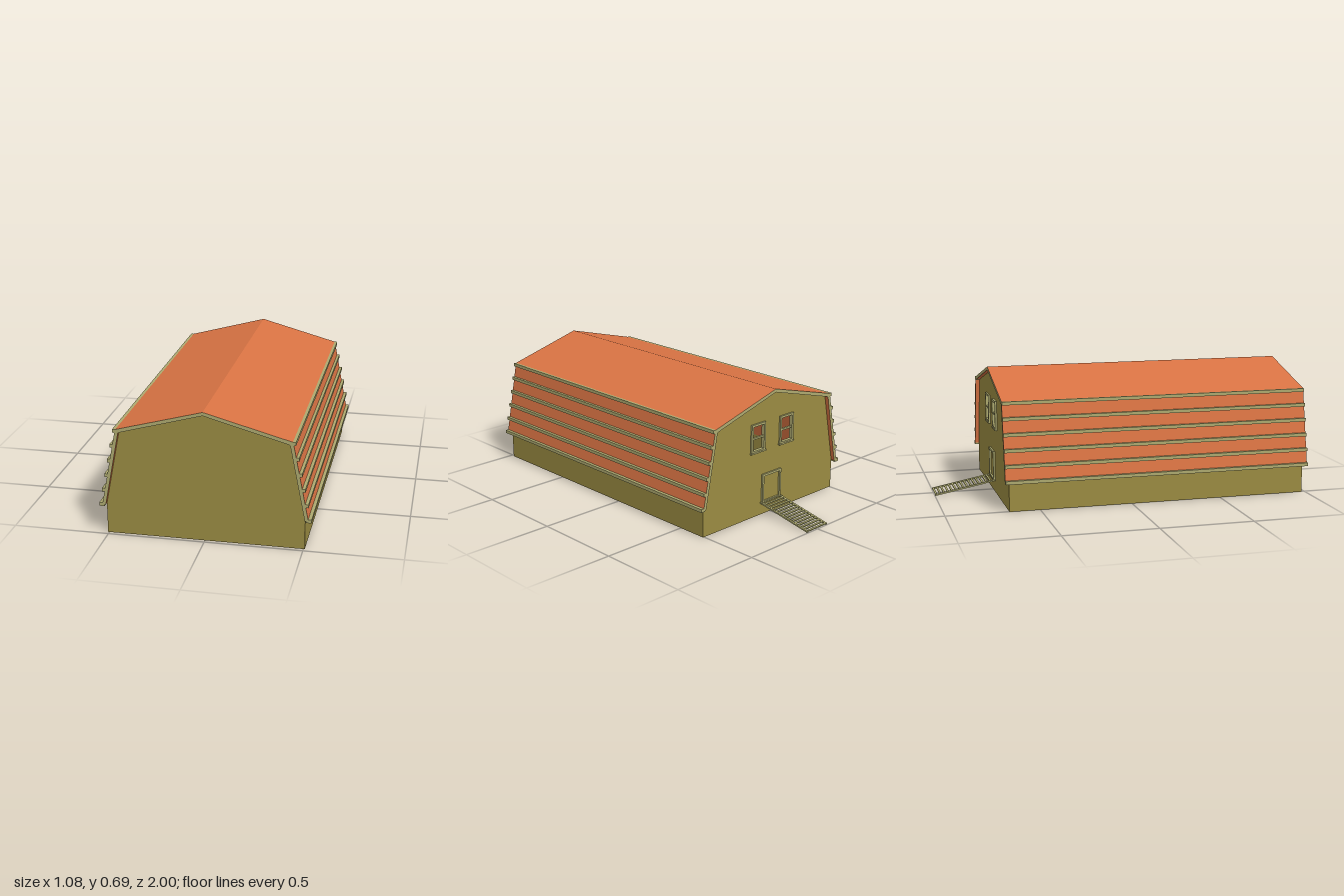
import * as THREE from 'three';

const wallMat = new THREE.MeshStandardMaterial({ color: 0x9a8b42, side: THREE.DoubleSide });
wallMat.name = 'olive wall';
const trimMat = new THREE.MeshStandardMaterial({ color: 0xaeaa70 });
trimMat.name = 'pale trim';
const roofMat = new THREE.MeshStandardMaterial({ color: 0xd97343 });
roofMat.name = 'orange roof';

const FRONT = 0.98, BACK = -0.665;
const ROOF_FRONT = 1, ROOF_BACK = -0.687;
const HALF = 0.507, EAVE = 0.162;
const WINDOW = { x: 0.11, y: 0.447, w: 0.106, h: 0.158 };
const BAR = 0.012;

const points = (list) => list.map(([x, y]) => new THREE.Vector2(x, y));

function add(parent, name, geometry, material) {
  const mesh = new THREE.Mesh(geometry, material);
  mesh.name = name;
  parent.add(mesh);
  return mesh;
}

function box(parent, name, w, h, d, x, y, z, material = trimMat) {
  const mesh = add(parent, name, new THREE.BoxGeometry(w, h, d), material);
  mesh.position.set(x, y, z);
  return mesh;
}

// Gable outline following the underside of the roof
function gableShape() {
  return new THREE.Shape(points([
    [-HALF, 0], [HALF, 0], [HALF, EAVE], [0.429, 0.557],
    [0, 0.676], [-0.429, 0.557], [-HALF, EAVE],
  ]));
}

// Rectangular frame of four bars standing on the back wall
function frame(parent, name, x, y, w, h) {
  const g = new THREE.Group();
  g.name = name;
  g.position.set(x, y, BACK);
  const depth = 0.02;
  for (const s of [-1, 1]) {
    box(g, 'upright', BAR, h, depth, s * (w - BAR) / 2, 0, 0);
    box(g, 'crossbar', w - 2 * BAR, BAR, depth, 0, s * (h - BAR) / 2, 0);
  }
  parent.add(g);
  return g;
}

export function createModel() {
  const barn = new THREE.Group();
  barn.name = 'barn';

  // Walls, open underneath
  add(barn, 'frontWall', new THREE.ShapeGeometry(gableShape()), wallMat).position.z = FRONT;
  const backShape = gableShape();
  for (const s of [-1, 1]) {
    const w = WINDOW.w / 2 - BAR / 2, h = WINDOW.h / 2 - BAR / 2;
    const cx = s * WINDOW.x, cy = WINDOW.y;
    backShape.holes.push(new THREE.Path(points([
      [cx - w, cy - h], [cx - w, cy + h], [cx + w, cy + h], [cx + w, cy - h],
    ])));
  }
  const back = new THREE.ShapeGeometry(backShape).rotateY(Math.PI);
  add(barn, 'backWall', back, wallMat).position.z = BACK;
  for (const s of [-1, 1]) {
    const side = new THREE.PlaneGeometry(FRONT - BACK, EAVE).rotateY(s * Math.PI / 2);
    add(barn, s > 0 ? 'leftWall' : 'rightWall', side, wallMat)
      .position.set(s * HALF, EAVE / 2, (FRONT + BACK) / 2);
  }

  // Two-slope roof slab with pale end faces
  const roofShape = new THREE.Shape(points([
    [0.525, EAVE], [0.444, 0.573], [0, 0.694], [-0.444, 0.573], [-0.525, EAVE],
    [-HALF, EAVE], [-0.429, 0.557], [0, 0.676], [0.429, 0.557], [HALF, EAVE],
  ]));
  const roofLength = ROOF_FRONT - ROOF_BACK;
  const roof = new THREE.ExtrudeGeometry(roofShape, { depth: roofLength, bevelEnabled: false });
  add(barn, 'roof', roof, [trimMat, roofMat]).position.z = ROOF_BACK;

  // Horizontal battens on the steep lower slopes
  const middle = (ROOF_FRONT + ROOF_BACK) / 2;
  for (let i = 0; i < 6; i++) {
    const y = EAVE + i * 0.0805;
    const outer = 0.541 - i * 0.0166;
    const inner = i === 5 ? 0.426 : outer - 0.027;
    for (const s of [-1, 1]) {
      box(barn, 'roofBatten', outer - inner, 0.018, roofLength, s * (outer + inner) / 2, y, middle);
    }
  }

  // Back windows with a middle sash bar
  for (const s of [-1, 1]) {
    const win = frame(barn, 'windowFrame', s * WINDOW.x, WINDOW.y, WINDOW.w, WINDOW.h);
    box(win, 'sashBar', WINDOW.w - 2 * BAR, BAR * 0.8, 0.012, 0, 0, 0);
    box(win, 'windowSill', WINDOW.w + 0.008, 0.008, 0.026, 0, -WINDOW.h / 2, 0);
  }

  // Closed back door
  frame(barn, 'doorFrame', 0, 0.147, 0.146, 0.165);

  // Slatted ramp sloping down from the door
  const ramp = new THREE.Group();
  ramp.name = 'ramp';
  const run = 0.334, drop = 0.064;
  const length = Math.hypot(run, drop);
  ramp.position.set(0, 0.069, BACK);
  ramp.rotation.x = -Math.atan2(drop, run);
  for (const s of [-1, 1]) {
    box(ramp, 'rampRail', 0.011, 0.008, length, s * 0.0745, 0, -length / 2);
  }
  const slats = 16;
  for (let i = 0; i < slats; i++) {
    box(ramp, 'rampSlat', 0.14, 0.006, 0.01, 0, 0.002, -0.006 - i * (length - 0.012) / (slats - 1));
  }
  barn.add(ramp);

  return barn;
}
